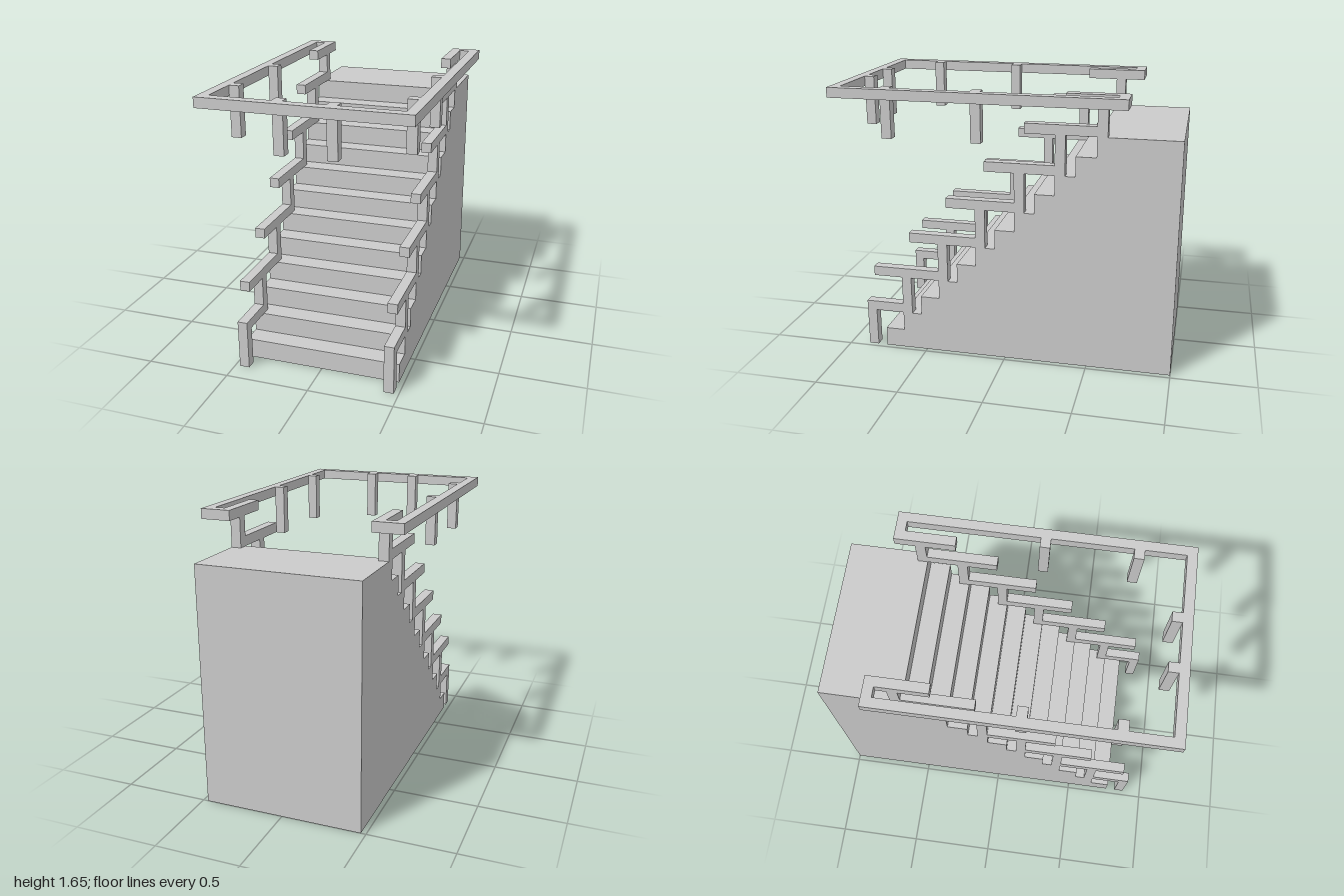
import * as THREE from 'three';

const U = 1 / 17; // one building module
const STEPS = 12;
const material = new THREE.MeshStandardMaterial({ color: 0xcccccc, flatShading: true });

// Box given by its limits in modules
function bar(name, x0, x1, y0, y1, z0, z1) {
  const geometry = new THREE.BoxGeometry((x1 - x0) * U, (y1 - y0) * U, (z1 - z0) * U);
  const mesh = new THREE.Mesh(geometry, material);
  mesh.position.set((x0 + x1) * U / 2, (y0 + y1) * U / 2, (z0 + z1) * U / 2);
  mesh.name = name;
  return mesh;
}

// Same box on the left (+x) or mirrored to the right (-x)
function sideBar(side, name, x0, x1, ...rest) {
  return side > 0 ? bar(name, x0, x1, ...rest) : bar(name, -x1, -x0, ...rest);
}

// Solid staircase: stepped side profile extruded across the width
function staircase() {
  const profile = new THREE.Shape();
  profile.moveTo(-17 * U, 0);
  profile.lineTo(13 * U, 0);
  for (let i = 0; i < STEPS; i++) {
    const front = 13 - 2 * i;
    const back = i === STEPS - 1 ? -17 : front - 2;
    profile.lineTo(front * U, 2 * (i + 1) * U);
    profile.lineTo(back * U, 2 * (i + 1) * U);
  }
  const geometry = new THREE.ExtrudeGeometry(profile, { depth: 16 * U, bevelEnabled: false });
  geometry.rotateY(-Math.PI / 2); // profile x becomes z
  geometry.translate(8 * U, 0, 0);
  const mesh = new THREE.Mesh(geometry, material);
  mesh.name = 'staircase';
  return mesh;
}

// Zigzag handrail climbing along one edge of the stairs
function handrail(side) {
  const rail = new THREE.Group();
  rail.name = side > 0 ? 'leftHandrail' : 'rightHandrail';
  rail.add(sideBar(side, 'newelPost', 7, 8, 0, 4, 14, 15));
  rail.add(sideBar(side, 'railSegment', 7, 8, 4, 5, 11, 15));
  for (let i = 0; i < 6; i++) {
    const y = 4 + 4 * i;
    const z = 11 - 4 * i;
    const last = i === 5;
    rail.add(sideBar(side, 'railPost', 7, 8, y, last ? 27 : y + 4, z - 1, z));
    if (!last) rail.add(sideBar(side, 'railSegment', 7, 8, y + 4, y + 5, z - 4, z + 3));
  }
  return rail;
}

// Upper rail running around the stairwell, with posts hanging beneath
function upperRail() {
  const rail = new THREE.Group();
  rail.name = 'upperRail';
  rail.add(bar('frontRail', -10, 10, 27, 28, 16, 17));
  for (const side of [1, -1]) {
    rail.add(sideBar(side, 'sideRail', 9, 10, 27, 28, -12, 16));
    rail.add(sideBar(side, 'backRail', 8, 9, 27, 28, -12, -11));
    rail.add(sideBar(side, 'returnRail', 7, 8, 27, 28, -12, -6));
    rail.add(sideBar(side, 'frontHangingPost', 2, 3, 23, 28, 15, 16));
    for (const z of [2, 11]) {
      rail.add(sideBar(side, 'sideHangingPost', 8, 9, 23, 28, z, z + 1));
    }
  }
  return rail;
}

export function createModel() {
  const model = new THREE.Group();
  model.name = 'stairsWithRailings';
  model.add(staircase(), handrail(1), handrail(-1), upperRail());
  return model;
}
